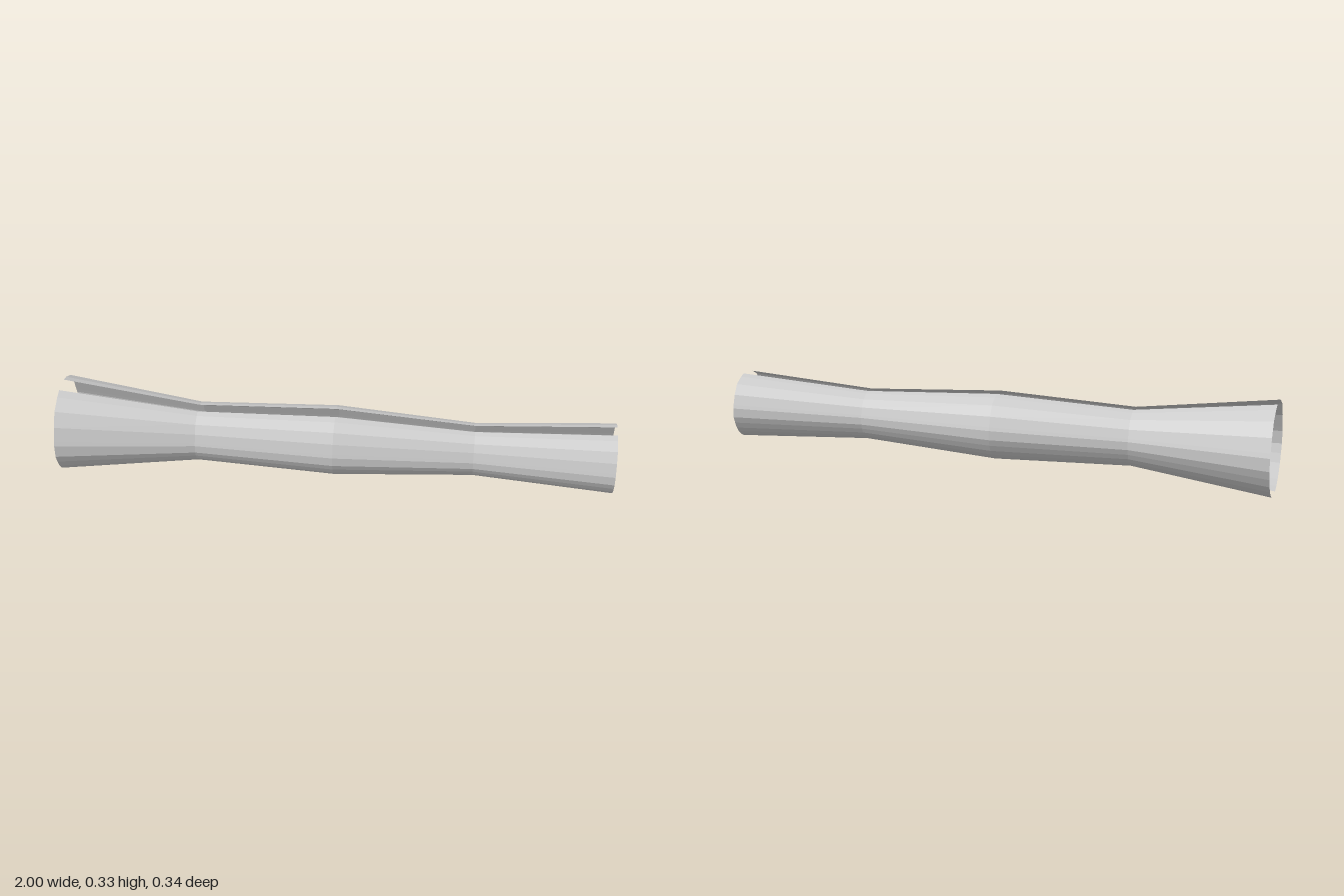
import * as THREE from 'three';

const CENTRE_Y = 0.168;

// Radius at each station along the sleeve: [x, radius]
const STATIONS = [[-1, 0.17], [-0.5, 0.105], [0, 0.124], [0.5, 0.093], [1, 0.124]];

// Half cross-section from the top slit to the bottom slit: [degrees from top, radius factor]
const SECTION = [
  [11.25, 1], [22.5, 1], [41.7, 1.025], [61, 0.985], [79, 0.985], [85, 1.005], [100.5, 1.02],
  [112, 1], [124, 1], [135, 1], [146, 1], [157.5, 1], [168.75, 1],
];

// One open half shell; side is +1 for front, -1 for back
function halfShell(name, side, material) {
  const cols = STATIONS.length;
  const rows = SECTION.length;
  const geometry = new THREE.PlaneGeometry(1, 1, cols - 1, rows - 1);
  const position = geometry.attributes.position;
  for (let row = 0; row < rows; row++) {
    const [degrees, factor] = SECTION[row];
    const angle = THREE.MathUtils.degToRad(degrees);
    for (let col = 0; col < cols; col++) {
      // The back runs the other way so its faces also point outwards
      const [x, radius] = STATIONS[side > 0 ? col : cols - 1 - col];
      const r = radius * factor;
      position.setXYZ(row * cols + col, x, CENTRE_Y + r * Math.cos(angle), side * r * Math.sin(angle));
    }
  }
  geometry.computeVertexNormals();
  const mesh = new THREE.Mesh(geometry, material);
  mesh.name = name;
  return mesh;
}

export function createModel() {
  const group = new THREE.Group();
  group.name = 'splitSleeve';
  const material = new THREE.MeshStandardMaterial({
    color: 0xcccccc, flatShading: true, side: THREE.DoubleSide,
  });
  group.add(halfShell('frontShell', 1, material), halfShell('backShell', -1, material));
  return group;
}
